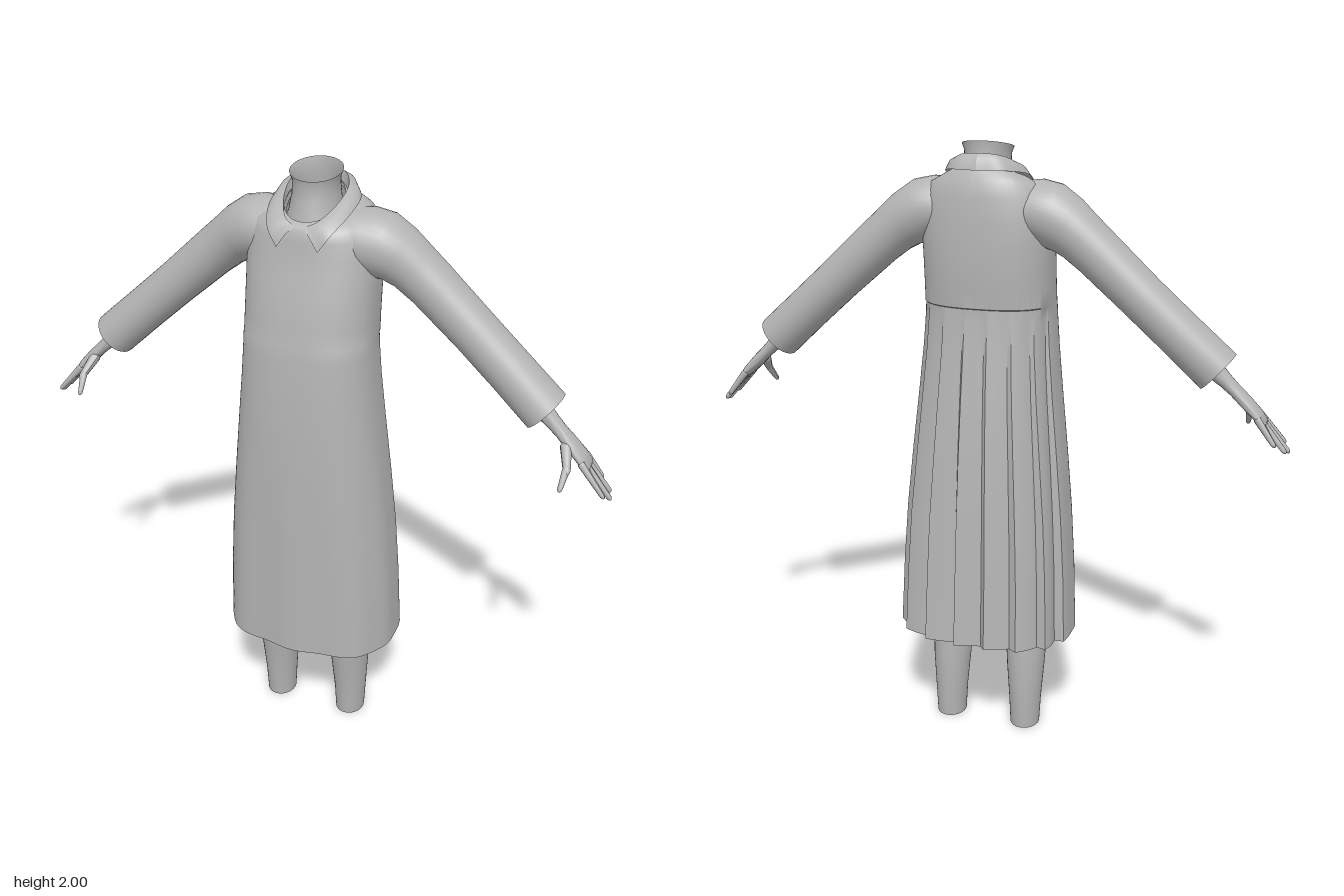
import * as THREE from 'three';
import { toCreasedNormals } from 'three/addons/utils/BufferGeometryUtils.js';

const V = (x, y, z) => new THREE.Vector3(x, y, z);

// Skin a surface through rows of points (equal counts per row)
function loft(rows, crease = 0.7) {
  const n = rows[0].length, pos = [], idx = [];
  rows.forEach(r => r.forEach(p => pos.push(p.x, p.y, p.z)));
  for (let i = 0; i < rows.length - 1; i++) {
    for (let j = 0; j < n - 1; j++) {
      const a = i * n + j, b = a + 1, c = a + n, d = c + 1;
      idx.push(a, b, d, a, d, c);
    }
  }
  const g = new THREE.BufferGeometry();
  g.setAttribute('position', new THREE.Float32BufferAttribute(pos, 3));
  g.setIndex(idx);
  return toCreasedNormals(g, crease);
}

// Horizontal ring: half width, front z, back z, tilt towards the front, squareness, pleat depth
function ring(n, [y, w, zf, zb, tilt = 0, sq = 2, pleat = 0, wave = 0, cx = 0]) {
  const pts = [], zc = (zf + zb) / 2, d = (zf - zb) / 2;
  for (let j = 0; j <= n; j++) {
    const t = (j % n) / n * Math.PI * 2, s = Math.sin(t), c = Math.cos(t);
    let r = Math.pow(Math.abs(s) ** sq + Math.abs(c) ** sq, -1 / sq);
    const deg = (j % n) * 360 / n, off = Math.abs(deg - 180);
    if (off <= 70) r -= pleat / d * ((((deg - 110) / 20) % 1));
    else r += wave / d * Math.cos(9 * t) * Math.max(0, c);
    const z = zc + d * r * c;
    pts.push(V(cx + w * r * s, y - tilt * z, z));
  }
  return pts;
}

// Sideways ring of an arm: centre, lean of its upright axis in degrees, radii
function armRing([x, y, z, lean, r, rz], n = 32) {
  const a = THREE.MathUtils.degToRad(lean), pts = [];
  for (let j = 0; j <= n; j++) {
    const t = (j % n) / n * Math.PI * 2, c = Math.cos(t) * r;
    pts.push(V(x + Math.sin(a) * c, y + Math.cos(a) * c, z + Math.sin(t) * rz));
  }
  return pts;
}

// Tapered round-ended digit between two points
function digit(a, b, r) {
  const len = a.distanceTo(b) - r;
  const g = new THREE.CapsuleGeometry(r, len, 5, 10);
  const p = g.attributes.position;
  for (let i = 0; i < p.count; i++) {
    const k = 1 - 0.35 * (p.getY(i) / len + 0.5);
    p.setX(i, p.getX(i) * k);
    p.setZ(i, p.getZ(i) * k);
  }
  g.computeVertexNormals();
  g.applyQuaternion(new THREE.Quaternion().setFromUnitVectors(V(0, 1, 0), b.clone().sub(a).normalize()));
  const m = a.clone().add(b).multiplyScalar(0.5);
  return g.translate(m.x, m.y, m.z);
}

export function createModel() {
  const model = new THREE.Group();
  const grey = new THREE.MeshStandardMaterial({ color: 0xb4b4b4, side: THREE.DoubleSide });
  grey.name = 'plain grey';
  const add = (parent, name, geo) => {
    const m = new THREE.Mesh(geo, grey);
    m.name = name;
    parent.add(m);
    return m;
  };

  // Coat body with back pleats hanging below a yoke seam
  const coat = [
    [0.37, 0.298, 0.215, -0.222, 0, 2.6, 0.026, 0.006],
    [0.6, 0.288, 0.216, -0.208, 0, 2.6, 0.024, 0.005],
    [0.8, 0.274, 0.217, -0.197, 0, 2.6, 0.022, 0.004],
    [1.0, 0.255, 0.218, -0.183, 0, 2.5, 0.018, 0.002],
    [1.2, 0.233, 0.215, -0.165, 0, 2.5, 0.014],
    [1.35, 0.218, 0.208, -0.147, 0, 2.5, 0.01],
    [1.45, 0.211, 0.2, -0.136, 0, 2.5, 0.005],
    [1.493, 0.209, 0.195, -0.131, 0, 2.5],
    [1.497, 0.209, 0.194, -0.14, 0, 2.5],
    [1.55, 0.208, 0.187, -0.144, 0, 2.5],
    [1.62, 0.208, 0.174, -0.148, 0, 2.5],
    [1.7, 0.209, 0.155, -0.148, 0, 2.5],
    [1.76, 0.208, 0.142, -0.146, 0.03, 2.4],
    [1.82, 0.202, 0.136, -0.141, 0.12, 2.3],
    [1.86, 0.182, 0.132, -0.132, 0.22, 2.2],
    [1.885, 0.13, 0.124, -0.115, 0.32, 2.1],
    [1.897, 0.088, 0.105, -0.098, 0.4, 2]
  ];
  add(model, 'coatBody', loft(coat.map(r => ring(144, r))));

  // Neck, open at the slanted top
  const neck = [
    [1.82, 0.1, 0.098, -0.095, 0.3],
    [1.87, 0.08, 0.088, -0.09, 0.3],
    [1.92, 0.072, 0.072, -0.086, 0.27],
    [1.96, 0.073, 0.066, -0.082, 0.24],
    [1.98, 0.081, 0.07, -0.084, 0.23]
  ];
  add(model, 'neck', loft(neck.map(r => ring(40, r))));

  // Everything below is built on the left and mirrored to the right
  for (const side of [1, -1]) {
    const half = new THREE.Group();
    half.name = side > 0 ? 'leftSide' : 'rightSide';
    half.scale.x = side;
    model.add(half);

    // Folded collar with a pointed front tip
    const top = new THREE.CatmullRomCurve3([V(0.012, 1.845, 0.124), V(0.05, 1.862, 0.106), V(0.088, 1.905, 0.03),
      V(0.09, 1.94, -0.04), V(0.055, 1.96, -0.09), V(0, 1.964, -0.102)]).getPoints(30);
    const low = new THREE.CatmullRomCurve3([V(0.065, 1.783, 0.145), V(0.1, 1.832, 0.128), V(0.129, 1.875, 0.052),
      V(0.129, 1.903, -0.04), V(0.08, 1.915, -0.112), V(0, 1.915, -0.128)]).getPoints(30);
    const fold = top.map((p, i) => p.clone().lerp(low[i], 0.45).add(V(p.x * 0.06, 0.008, p.z * 0.05)));
    const stand = top.map(p => V(p.x * 0.93, p.y - 0.045, p.z * 0.93));
    add(half, 'collar', loft([low, fold, top, stand], 0.9));

    // Sleeve, open at the cuff
    const sleeve = [
      [0.11, 1.79, -0.005, 0, 0.088, 0.1],
      [0.17, 1.788, -0.01, 4, 0.097, 0.108],
      [0.215, 1.775, -0.016, 14, 0.1, 0.104],
      [0.26, 1.75, -0.022, 28, 0.089, 0.093],
      [0.3, 1.72, -0.027, 36, 0.081, 0.084],
      [0.36, 1.67, -0.03, 41, 0.077, 0.078],
      [0.5, 1.545, -0.03, 42, 0.073, 0.075],
      [0.62, 1.438, -0.025, 42, 0.073, 0.076],
      [0.74, 1.33, -0.018, 42, 0.0745, 0.078]
    ];
    add(half, 'sleeve', loft(sleeve.map(r => armRing(r)), 1));

    // Forearm, wrist and palm
    const hand = [
      [0.64, 1.42, -0.022, 42, 0.042, 0.044],
      [0.72, 1.342, -0.018, 42, 0.031, 0.034],
      [0.765, 1.3, -0.014, 43, 0.023, 0.027],
      [0.795, 1.272, -0.012, 43, 0.02, 0.029],
      [0.83, 1.238, -0.01, 43, 0.02, 0.037],
      [0.865, 1.203, -0.009, 43, 0.017, 0.044],
      [0.888, 1.178, -0.009, 43, 0.012, 0.042],
      [0.894, 1.171, -0.009, 43, 0.001, 0.03]
    ];
    add(half, 'hand', loft(hand.map(r => armRing(r, 20)), 1.2));

    // Fingers and thumb
    [[0.925, 1.122, -0.056], [0.956, 1.096, -0.026], [0.964, 1.088, 0.008], [0.948, 1.108, 0.042]].forEach((t, i) =>
      add(half, 'finger' + (i + 1), digit(V(0.868, 1.198, -0.042 + i * 0.022), V(...t), 0.0125)));
    add(half, 'thumbBase', digit(V(0.815, 1.243, 0.008), V(0.838, 1.185, 0.075), 0.018));
    add(half, 'thumb', digit(V(0.835, 1.2, 0.06), V(0.828, 1.14, 0.108), 0.0125));

    // Leg, open at the ankle and hidden above the hem
    const leg = [
      [0, 0.05, 0.054, -0.064, 0, 2, 0, 0, 0.136],
      [0.1, 0.055, 0.062, -0.069, 0, 2, 0, 0, 0.136],
      [0.22, 0.064, 0.078, -0.071, 0, 2, 0, 0, 0.135],
      [0.32, 0.07, 0.095, -0.065, 0, 2, 0, 0, 0.133],
      [0.42, 0.074, 0.103, -0.055, 0, 2, 0, 0, 0.13],
      [0.6, 0.08, 0.105, -0.06, 0, 2, 0, 0, 0.12]
    ];
    add(half, 'leg', loft(leg.map(r => ring(32, r))));
  }
  return model;
}
